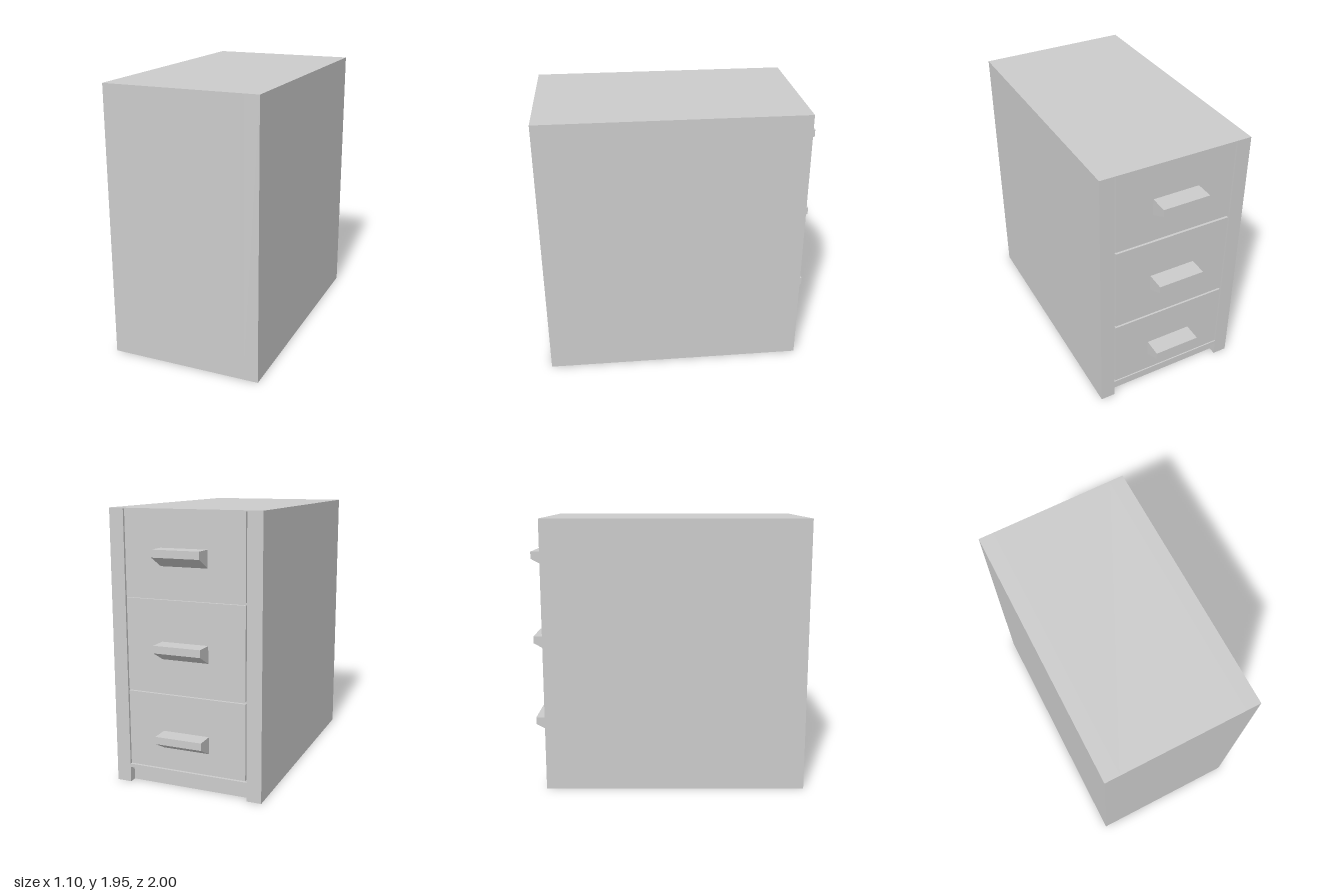
import * as THREE from 'three';

const material = new THREE.MeshStandardMaterial({ color: 0xcccccc, flatShading: true });

export function createModel() {
  const model = new THREE.Group();
  model.name = 'drawerCabinet';

  const W = 0.55, H = 1.945, BACK = 1, FACE = -0.87; // half width, height, z of both ends
  const INNER = 0.445, GAP = 0.01;                   // opening half width, groove width

  // Box given by its extents on each axis
  const box = (name, x0, x1, y0, y1, z0, z1, parent = model) => {
    const mesh = new THREE.Mesh(new THREE.BoxGeometry(x1 - x0, y1 - y0, z1 - z0), material);
    mesh.position.set((x0 + x1) / 2, (y0 + y1) / 2, (z0 + z1) / 2);
    mesh.name = name;
    parent.add(mesh);
  };

  // Side panels run the full depth, the core sits between them
  box('leftPanel', INNER, W, 0, H, FACE, BACK);
  box('rightPanel', -W, -INNER, 0, H, FACE, BACK);
  box('core', -INNER, INNER, 0.11, H, FACE + 0.02, BACK);
  box('kickBoard', -INNER, INNER, 0, 0.11, FACE + 0.055, BACK);
  box('bottomRail', -INNER, INNER, 0.11, 0.135, FACE, FACE + 0.02);
  box('topEdge', -INNER, INNER, H - 0.006, H, FACE, FACE + 0.02);

  // Wedge-shaped pull: flat top, sloping underside, thin front lip
  const profile = new THREE.Shape([
    new THREE.Vector2(0, 0),
    new THREE.Vector2(0.13, 0.07),
    new THREE.Vector2(0.13, 0.122),
    new THREE.Vector2(0, 0.122),
  ]);
  const handleGeometry = new THREE.ExtrudeGeometry(profile, { depth: 0.34, bevelEnabled: false });
  handleGeometry.translate(0, 0, -0.17).rotateY(Math.PI / 2);

  // Three drawers, bottom to top: front extents and handle height
  const drawers = [
    [0.147, 0.683, 0.298],
    [0.699, 1.342, 0.933],
    [1.358, H - 0.006, 1.568],
  ];
  drawers.forEach(([y0, y1, handleY], i) => {
    const drawer = new THREE.Group();
    drawer.name = `drawer${i + 1}`;
    box('drawerFront', -INNER + GAP, INNER - GAP, y0, y1, FACE, FACE + 0.02, drawer);
    const handle = new THREE.Mesh(handleGeometry, material);
    handle.name = 'handle';
    handle.position.set(0, handleY, FACE);
    drawer.add(handle);
    model.add(drawer);
  });

  return model;
}
